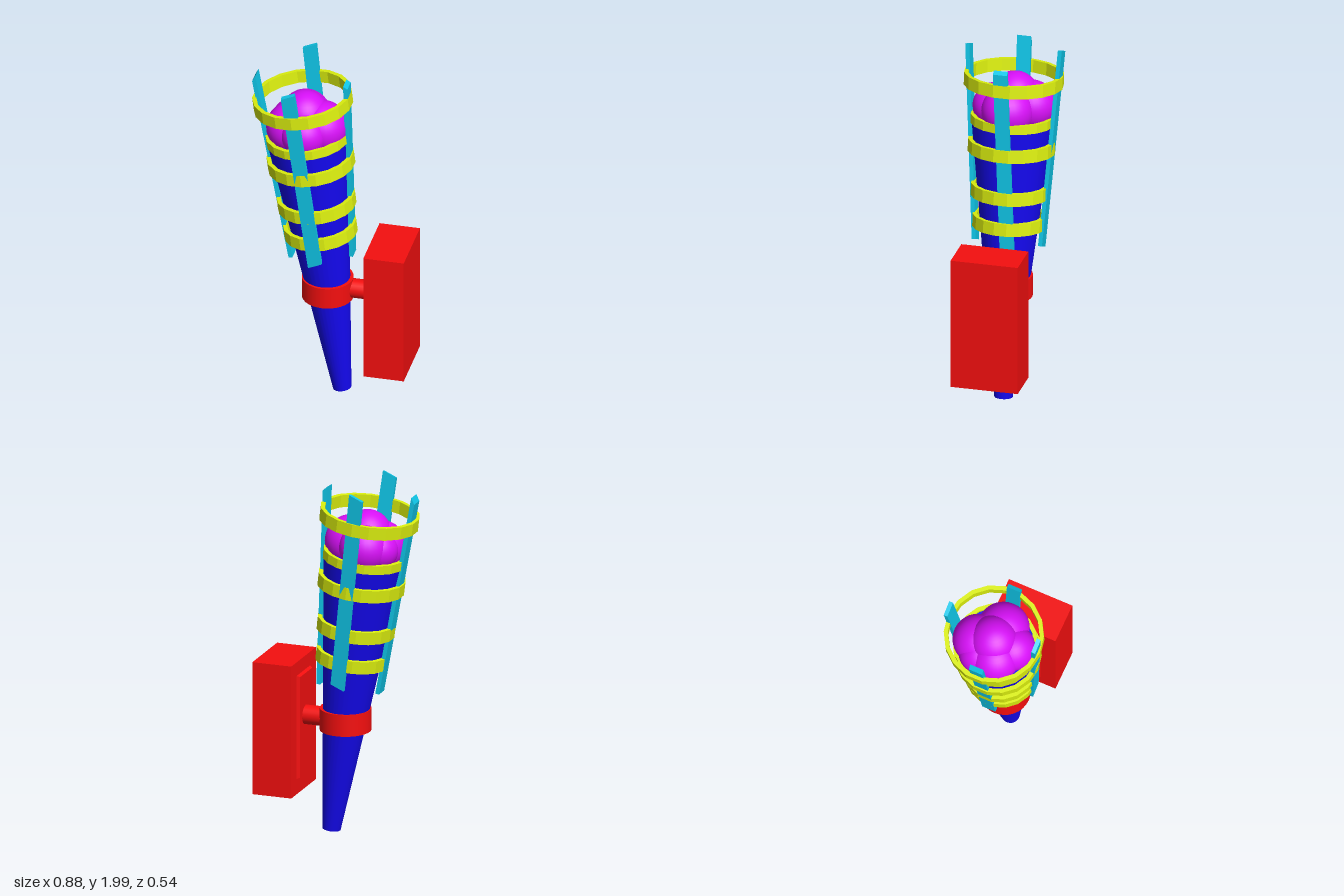
import * as THREE from 'three';

const mat = (color, extra = {}) => new THREE.MeshStandardMaterial({ color, ...extra });

export function createModel() {
  const model = new THREE.Group();
  const blue = mat(0x1408f0);
  const red = mat(0xf50f0f);
  const yellow = mat(0xdcf00f, { flatShading: true });
  const cyan = mat(0x10c8ea, { flatShading: true });
  const purple = mat(0xd810f8);

  const add = (parent, name, geometry, material, x = 0, y = 0, z = 0) => {
    const mesh = new THREE.Mesh(geometry, material);
    mesh.name = name;
    mesh.position.set(x, y, z);
    parent.add(mesh);
    return mesh;
  };

  // Leaning torch: everything inside is measured along its own axis
  const torch = new THREE.Group();
  torch.name = 'torch';
  torch.position.set(0.05, 0.006, 0.003);
  torch.rotation.z = 0.122;
  model.add(torch);

  // Tapered handle
  add(torch, 'handle', new THREE.CylinderGeometry(0.224, 0.05, 1.58, 32), blue, 0, 0.79, 0);

  // Hoops: [distance along the axis, outer radius, height]
  const hoops = [
    [1.0, 0.2, 0.07],
    [1.175, 0.214, 0.07],
    [1.425, 0.238, 0.07],
    [1.575, 0.228, 0.05],
    [1.8, 0.271, 0.07],
  ];
  for (const [s, r, h] of hoops) {
    const inner = r - 0.023;
    const profile = [
      [inner, -h / 2], [r, -h / 2], [r, h / 2], [inner, h / 2], [inner, -h / 2],
    ].map(([x, y]) => new THREE.Vector2(x, y));
    add(torch, 'hoop', new THREE.LatheGeometry(profile, 18), yellow, 0, s, 0);
  }

  // Slats flaring outward: bottom/top distance, radius and sideways shift, end slants
  const slats = [
    { name: 'frontSlat', turn: 0, s: [0.87, 1.97], r: [0.185, 0.256], lean: [0, 0], skew: 0.3, cut: 0.3 },
    { name: 'backSlat', turn: Math.PI, s: [0.87, 1.985], r: [0.185, 0.26], lean: [0, 0], skew: -0.3, cut: 0 },
    { name: 'leftSlat', turn: Math.PI / 2, s: [0.82, 1.905], r: [0.15, 0.262], lean: [0.035, -0.01], skew: 0, cut: 0.8 },
    { name: 'rightSlat', turn: -Math.PI / 2, s: [0.83, 1.955], r: [0.178, 0.243], lean: [0, 0.01], skew: 0, cut: 1.5 },
  ];
  for (const { name, turn, s, r, lean, skew, cut } of slats) {
    const geo = new THREE.BoxGeometry(0.078, 1, 0.022);
    const p = geo.attributes.position;
    for (let i = 0; i < p.count; i++) {
      const end = p.getY(i) > 0 ? 1 : 0;
      const x = p.getX(i), z = p.getZ(i);
      p.setXYZ(i, x + lean[end], s[end] + skew * x - end * cut * z, z + r[end]);
    }
    geo.computeVertexNormals();
    add(torch, name, geo, cyan).rotation.y = turn;
  }

  // Flame made of overlapping balls: [x, y, z, radius]
  const balls = [
    [-0.16, 1.7, -0.005, 0.132],
    [-0.06, 1.645, 0.01, 0.142],
    [-0.225, 1.63, 0.03, 0.137],
    [-0.175, 1.645, -0.09, 0.137],
    [-0.24, 1.63, -0.055, 0.11],
    [-0.14, 1.635, 0.095, 0.127],
  ];
  const flame = new THREE.Group();
  flame.name = 'flame';
  model.add(flame);
  for (const [x, y, z, r] of balls) {
    add(flame, 'flameBall', new THREE.SphereGeometry(r, 32, 20), purple, x, y, z);
  }

  // Wall bracket: collar, arm, bevelled plate and block
  const bracket = new THREE.Group();
  bracket.name = 'bracket';
  model.add(bracket);
  add(bracket, 'collar', new THREE.CylinderGeometry(0.14, 0.14, 0.122, 32), red, -0.03, 0.637, 0.005);
  add(bracket, 'arm', new THREE.CylinderGeometry(0.053, 0.053, 0.16, 24), red, 0.15, 0.637, -0.003)
    .rotation.z = Math.PI / 2;

  const plate = new THREE.BoxGeometry(0.04, 0.61, 0.23);
  const pp = plate.attributes.position;
  for (let i = 0; i < pp.count; i++) {
    if (pp.getX(i) < 0) pp.setXYZ(i, pp.getX(i), pp.getY(i) * 0.93, pp.getZ(i) * 0.8);
  }
  plate.computeVertexNormals();
  add(bracket, 'plate', plate, red, 0.217, 0.587, 0.005);
  add(bracket, 'wallBlock', new THREE.BoxGeometry(0.224, 0.746, 0.374), red, 0.325, 0.583, 0.008);

  return model;
}
